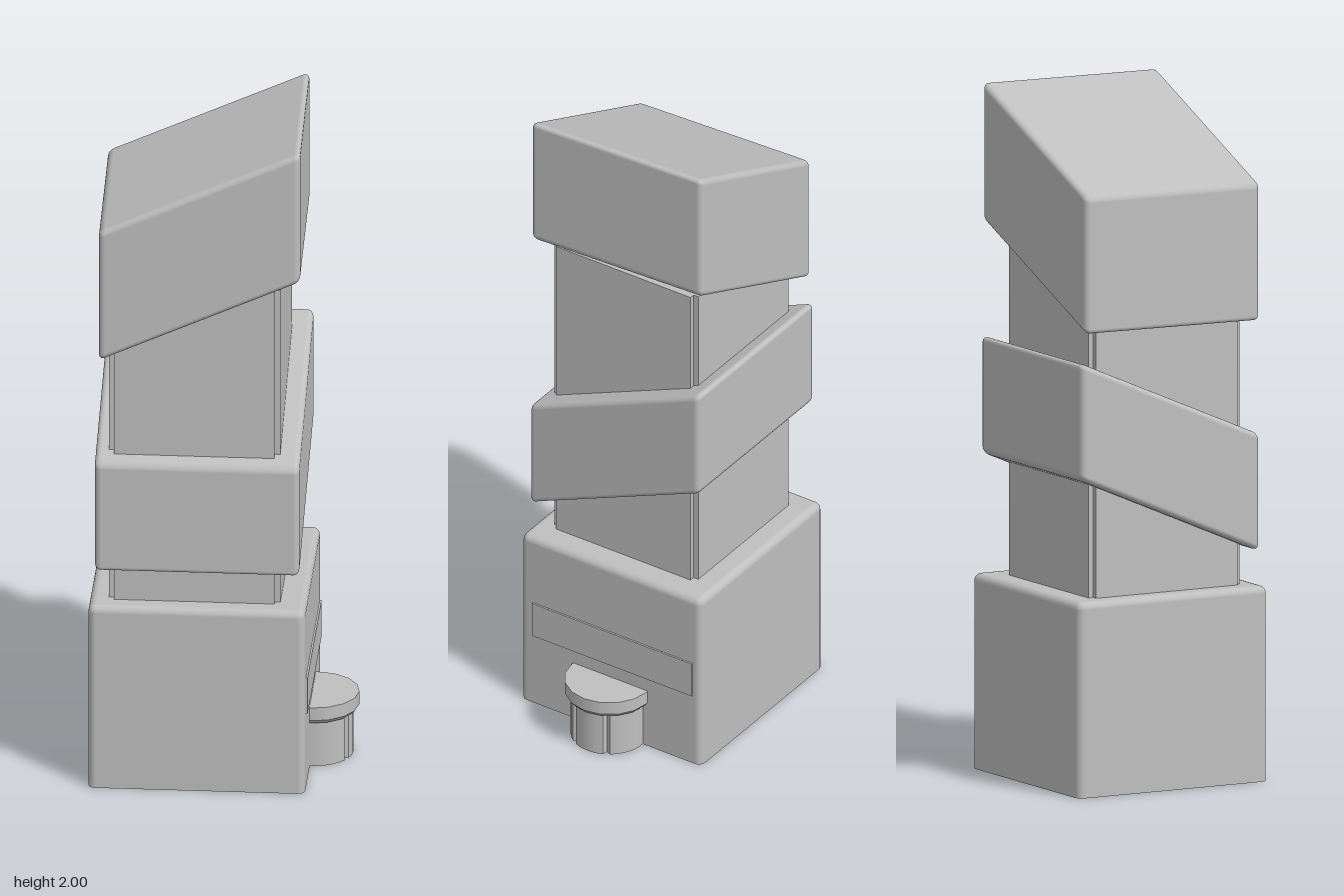
import * as THREE from 'three';
import { RoundedBoxGeometry } from 'three/addons/geometries/RoundedBoxGeometry.js';

const CX = -0.068; // axis of the tower

export function createModel() {
  const root = new THREE.Group();
  root.name = 'tower';
  const stone = new THREE.MeshStandardMaterial({ color: 0xbfbfbf });
  stone.name = 'grey';

  const add = (name, geometry, x = 0, y = 0, z = 0) => {
    const mesh = new THREE.Mesh(geometry, stone);
    mesh.name = name;
    mesh.position.set(x, y, z);
    root.add(mesh);
    return mesh;
  };

  // Rounded block whose height slopes along x and z
  const slopedBlock = (w, h, d, slopeX, slopeZ) =>
    new RoundedBoxGeometry(w, h, d, 3, 0.018).applyMatrix4(new THREE.Matrix4().set(
      1, 0, 0, 0,
      slopeX, 1, slopeZ, 0,
      0, 0, 1, 0,
      0, 0, 0, 1));

  // Base: rounded on top and along the uprights, cut flat at the ground
  const r = 0.022, baseH = 0.57;
  const base = new RoundedBoxGeometry(0.625, baseH + r, 0.627, 3, r);
  base.translate(0, (baseH - r) / 2, 0);
  const p = base.attributes.position, n = base.attributes.normal;
  for (let i = 0; i < p.count; i++) if (p.getY(i) < 1e-5) p.setY(i, 0);
  for (let i = 0; i < p.count; i += 3) {
    if (p.getY(i) + p.getY(i + 1) + p.getY(i + 2) === 0) {
      for (let k = 0; k < 3; k++) n.setXYZ(i + k, 0, -1, 0);
    }
  }
  add('base', base, CX, 0, -0.001);

  // Column: square section with a small notch in each corner
  const hw = 0.247, hd = 0.25, c = 0.016;
  const section = new THREE.Shape([
    [hw, -hd + c], [hw, hd - c], [hw - c, hd - c], [hw - c, hd],
    [-hw + c, hd], [-hw + c, hd - c], [-hw, hd - c], [-hw, -hd + c],
    [-hw + c, -hd + c], [-hw + c, -hd], [hw - c, -hd], [hw - c, -hd + c],
  ].map(([x, y]) => new THREE.Vector2(x, y)));
  const column = new THREE.ExtrudeGeometry(section, { depth: 1.0, bevelEnabled: false });
  column.rotateX(-Math.PI / 2);
  add('column', column, -0.078, 0.55, 0.007);

  // Middle band rises to the back, top block rises to the left
  add('middleBand', slopedBlock(0.59, 0.342, 0.59, 0, -0.43), CX, 0.967, 0);
  const top = add('topBlock', slopedBlock(0.58, 0.405, 0.585, 0.445, -0.015), CX, 1.671, 0.003);
  top.rotation.y = 0.025;

  // Plate on the side of the base
  add('sidePlate', new THREE.BoxGeometry(0.009, 0.112, 0.555), 0.2455, 0.29, -0.008);

  // Bollard: grooved stem with a wider cap, half sunk into the base
  const outline = [new THREE.Vector2(-0.03, -0.112)];
  for (let a = -90; a <= 90; a += 5) {
    const rad = Math.abs(a) === 30 ? 0.1 : 0.112;
    const t = a * Math.PI / 180;
    outline.push(new THREE.Vector2(rad * Math.cos(t), rad * Math.sin(t)));
  }
  outline.push(new THREE.Vector2(-0.03, 0.112));
  const stem = new THREE.ExtrudeGeometry(new THREE.Shape(outline), { depth: 0.15, bevelEnabled: false });
  stem.rotateX(-Math.PI / 2);
  add('bollardStem', stem, 0.25, 0, 0);
  add('bollardCap', new THREE.CylinderGeometry(0.13, 0.13, 0.04, 16), 0.25, 0.17, 0);
  add('bollardCapUnderside', new THREE.CylinderGeometry(0.13, 0.12, 0.012, 16), 0.25, 0.144, 0);

  return root;
}
